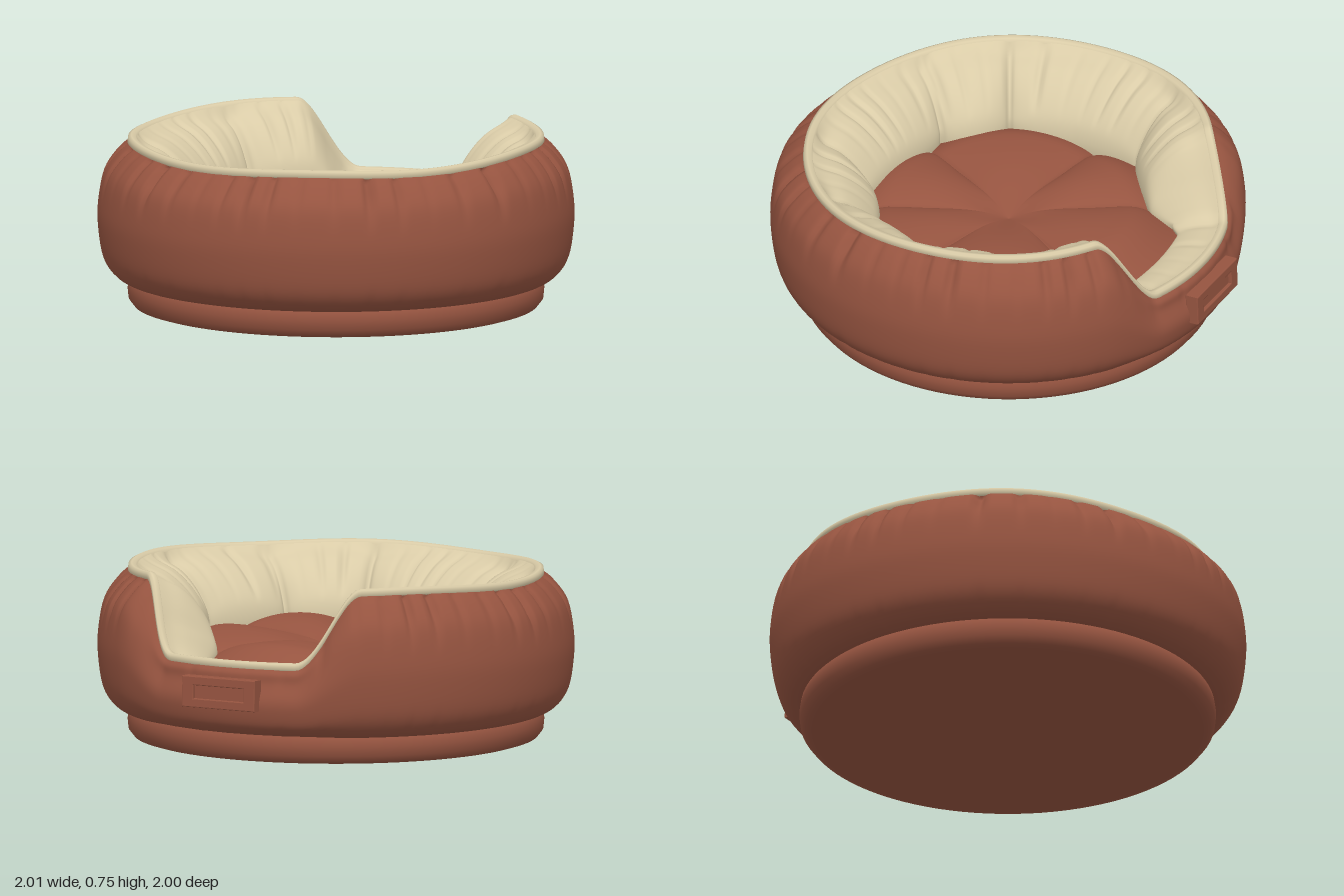
import * as THREE from 'three';

const SEG = 360;
const rad = THREE.MathUtils.degToRad;
const lerp = THREE.MathUtils.lerp;
const smooth = THREE.MathUtils.smoothstep;

// Angles run from the front (+z) towards +x, in degrees.
const LINING_SEAMS = [18, 50, 88, 122, 160, 203, 240, 298, 326];
const CUSHION_SEAMS = [25, 75, 149, 212, 260, 333];

// 0 on a seam, 1 in the middle of the stuffed panel between two seams
function puff(deg, seams, power) {
  const n = seams.length;
  for (let i = 0; i < n; i++) {
    const a = seams[i];
    const b = i + 1 < n ? seams[i + 1] : seams[0] + 360;
    const d = deg < a ? deg + 360 : deg;
    if (d >= a && d < b) return Math.pow(Math.sin(Math.PI * (d - a) / (b - a)), power);
  }
  return 0;
}

// Irregular gathers in the fabric
function gather(deg) {
  const p = rad(deg);
  const v = Math.sin(43 * p + 2 * Math.sin(3 * p) + Math.sin(8 * p));
  return Math.pow(Math.max(0, v), 3) * (0.6 + 0.4 * Math.sin(11 * p + 1));
}

// 1 in the low entrance at the back, 0 along the tall wall
const entrance = (deg, from = 19, to = 37) => 1 - smooth(Math.abs(deg - 180), from, to);

// Rim radius and height around the bed
function rim(deg) {
  const e = entrance(deg), p = rad(deg);
  const back = (1 - Math.cos(p)) / 2;
  const tall = 0.705 + 0.042 * back + 0.006 * Math.sin(5 * p);
  return { e, r: lerp(0.85 + 0.02 * Math.sin(p) ** 2, 0.92, e), h: lerp(tall, 0.435, e) };
}

// Surface swept around y from a profile that changes with the angle
function sweep(profile, rows) {
  const pos = [], index = [];
  for (let i = 0; i < SEG; i++) {
    const deg = i * 360 / SEG, p = rad(deg);
    for (const [r, y] of profile(deg, rows)) pos.push(r * Math.sin(p), y, r * Math.cos(p));
  }
  const w = rows + 1;
  for (let i = 0; i < SEG; i++) {
    for (let j = 0; j < rows; j++) {
      const a = i * w + j, b = ((i + 1) % SEG) * w + j;
      index.push(a, b, b + 1, a, b + 1, a + 1);
    }
  }
  const g = new THREE.BufferGeometry();
  g.setAttribute('position', new THREE.Float32BufferAttribute(pos, 3));
  g.setIndex(index);
  g.computeVertexNormals();
  return g;
}

function spline(points, rows) {
  return new THREE.SplineCurve(points.map(([x, y]) => new THREE.Vector2(x, y))).getPoints(rows);
}

// Outer wall, swelling out from the base and gathered below the rim
function wallProfile(deg, rows) {
  const { e, r, h } = rim(deg);
  const top = h - 0.02;
  const max = lerp(1, 0.972, e);
  const k = (f) => 0.12 + f * (top - 0.12);
  const pts = spline([
    [0.8, 0.125], [max - 0.125, k(0)], [max - 0.065, k(0.05)], [max - 0.02, k(0.17)],
    [max, k(0.38)], [max, k(0.56)], [max - 0.024, k(0.78)],
    [lerp(max, r, 0.58), k(0.92)], [r, top],
  ], rows);
  return pts.map((q, j) => {
    const t = j / rows;
    const up = smooth(t, 0.64, 0.86) * (1 - smooth(t, 0.95, 1));
    const low = smooth(t, 0.1, 0.2) * (1 - smooth(t, 0.25, 0.42));
    const fold = (0.032 * up * (1 - 0.8 * e) + 0.006 * low) * gather(deg);
    return [q.x - fold, q.y - fold * 0.4];
  });
}

// Piping strip along the rim
function pipingProfile(deg) {
  const { r, h } = rim(deg);
  return [[r - 0.004, h - 0.03], [r + 0.01, h - 0.022], [r + 0.007, h],
    [r - 0.006, h + 0.006], [r - 0.025, h + 0.003], [r - 0.032, h - 0.012]];
}

// Stuffed inner wall from the rim down to the cushion
function liningProfile(deg, rows) {
  const { e, r, h } = rim(deg);
  const b = puff(deg, LINING_SEAMS, 0.5);
  const front = Math.max(0, Math.cos(rad(deg)));
  const gap = entrance(deg, 17, 29);
  const inner = lerp(0.645 - 0.075 * b - 0.03 * front, 0.74 - 0.03 * b, gap);
  const start = r - 0.028;
  const at = (t, k) => [lerp(start, inner, t), lerp(h - 0.005, 0.35, k)];
  const s = 0.1 * (1 - b);
  const pts = spline([
    at(0, 0), at(0.16, 0.06 + s), at(0.45, 0.16 + s), at(0.72, 0.33 + s),
    at(0.93, 0.55 + s), at(1, 0.78), at(0.97, 1),
  ], rows);
  return pts.map((q, j) => {
    const fold = 0.014 * gather(deg + 7) * Math.sin(Math.PI * Math.min(1, 1.5 * j / rows)) * (1 - 0.5 * e);
    return [q.x + fold, q.y - fold];
  });
}

// Seat cushion: soft wedges whose creases fade out towards a central dimple
function cushionProfile(deg, rows) {
  const b = puff(deg, CUSHION_SEAMS, 0.6);
  const out = [];
  for (let j = 0; j <= rows; j++) {
    const r = 0.8 * (1 - j / rows);
    const rise = Math.sin(Math.PI / 2 * Math.min(1, r / 0.45));
    const crease = 0.055 * (1 - b) * smooth(r, 0.06, 0.4);
    out.push([r, 0.365 + rise * 0.092 - crease - 0.12 * smooth(r, 0.5, 0.8)]);
  }
  return out;
}

export function createModel() {
  const bed = new THREE.Group();
  bed.name = 'petBed';
  const brown = new THREE.MeshStandardMaterial({ color: 0x965440 });
  brown.name = 'russet fabric';
  const cream = new THREE.MeshStandardMaterial({ color: 0xd9cba7, side: THREE.DoubleSide });
  cream.name = 'cream fabric';

  const add = (name, geometry, material, parent = bed) => {
    const m = new THREE.Mesh(geometry, material);
    m.name = name;
    parent.add(m);
    return m;
  };

  // Flat round base
  const base = [[0, 0], [0.6, 0], [0.82, 0.003], [0.85, 0.012], [0.872, 0.04], [0.876, 0.08],
    [0.87, 0.115], [0.85, 0.135], [0.7, 0.14]].map(([x, y]) => new THREE.Vector2(x, y));
  add('base', new THREE.LatheGeometry(base, 96), brown);

  add('outerWall', sweep(wallProfile, 40), brown);
  add('rimPiping', sweep(pipingProfile, 5), cream);
  add('innerLining', sweep(liningProfile, 28), cream);
  add('seatCushion', sweep(cushionProfile, 30), brown);

  // Blank patch with a raised frame, below the entrance
  const patch = new THREE.Group();
  patch.name = 'patch';
  patch.position.set(0, 0.305, -0.955);
  patch.rotation.set(0.04, Math.PI, 0);
  bed.add(patch);
  const rect = (s, w, h) => s.moveTo(-w, -h).lineTo(w, -h).lineTo(w, h).lineTo(-w, h).closePath();
  const frame = rect(new THREE.Shape(), 0.172, 0.062);
  frame.holes.push(rect(new THREE.Path(), 0.125, 0.032));
  add('patchFrame', new THREE.ExtrudeGeometry(frame, {
    depth: 0.05, bevelEnabled: true, bevelSize: 0.004, bevelThickness: 0.004, bevelSegments: 2,
  }), brown, patch).position.z = -0.012;
  add('patchPanel', new THREE.BoxGeometry(0.27, 0.08, 0.03), brown, patch).position.z = 0.012;

  return bed;
}
